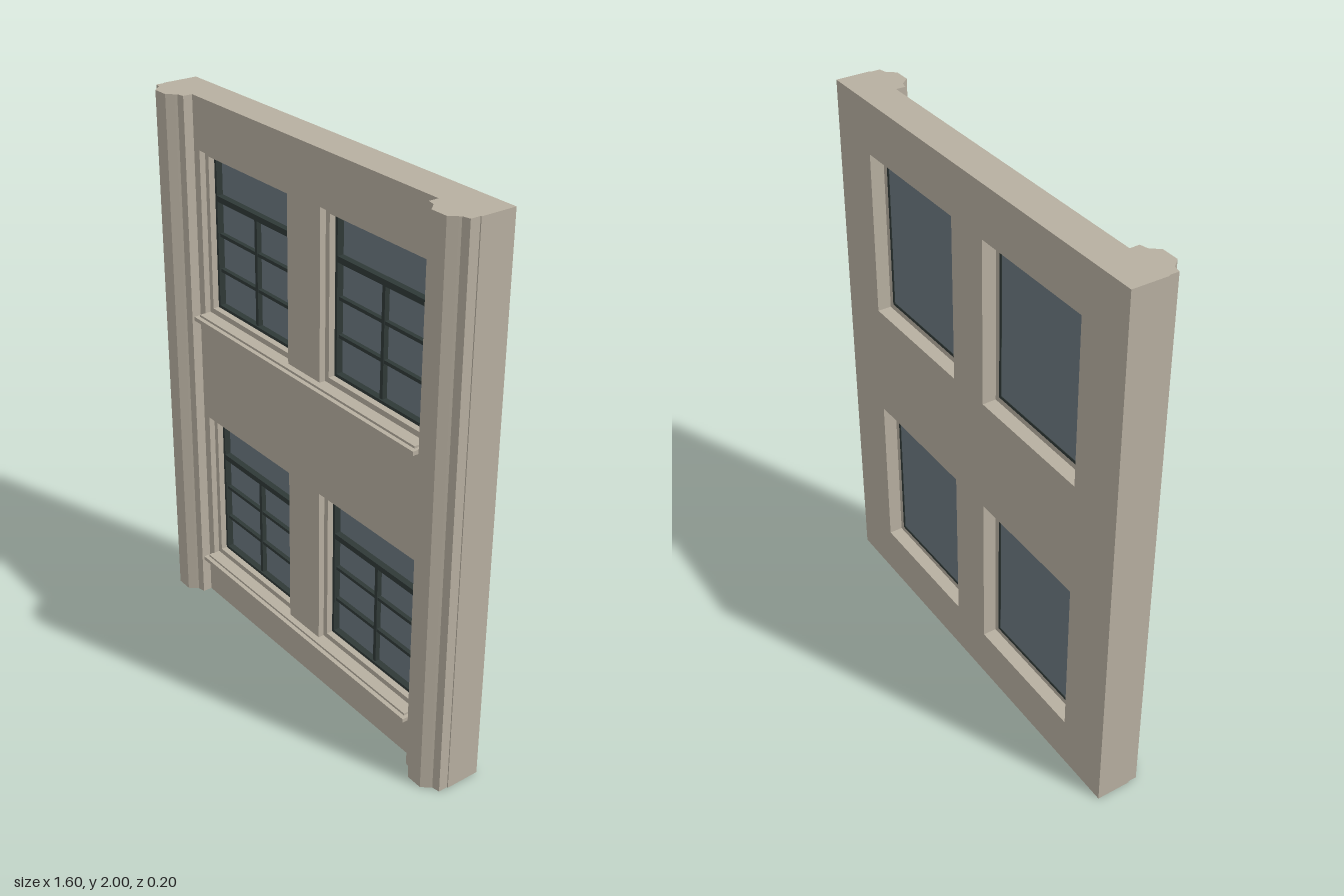
import * as THREE from 'three';

const stone = new THREE.MeshStandardMaterial({ color: 0xb7afa0 });
stone.name = 'stone';
const frameDark = new THREE.MeshStandardMaterial({ color: 0x2f3937 });
frameDark.name = 'darkFrame';
const glass = new THREE.MeshStandardMaterial({ color: 0x6b7780 });
glass.name = 'glass';

const WALL_BACK = -0.1, WALL_FRONT = 0.027;
const FLOORS = [0.186, 1.212]; // bottom of the openings on each storey
const OPEN_W = 0.506, OPEN_H = 0.602, OPEN_X = 0.34;

function box(name, x0, x1, y0, y1, z0, z1, material) {
  const mesh = new THREE.Mesh(new THREE.BoxGeometry(x1 - x0, y1 - y0, z1 - z0), material);
  mesh.position.set((x0 + x1) / 2, (y0 + y1) / 2, (z0 + z1) / 2);
  mesh.name = name;
  return mesh;
}

function rectangle(path, x0, x1, y0, y1) {
  path.moveTo(x0, y0);
  path.lineTo(x1, y0);
  path.lineTo(x1, y1);
  path.lineTo(x0, y1);
  path.closePath();
  return path;
}

// Rectangular ring: a border running inside the given outline
function ring(name, w, y0, y1, border, z0, z1, material) {
  const shape = rectangle(new THREE.Shape(), -w / 2, w / 2, y0, y1);
  shape.holes.push(rectangle(new THREE.Path(), -w / 2 + border, w / 2 - border, y0 + border, y1 - border));
  const geo = new THREE.ExtrudeGeometry(shape, { depth: z1 - z0, bevelEnabled: false });
  geo.translate(0, 0, z0);
  const mesh = new THREE.Mesh(geo, material);
  mesh.name = name;
  return mesh;
}

// One window, centred on x = 0 with its opening starting at y = 0
function createWindow() {
  const g = new THREE.Group();
  g.name = 'window';
  const c = 0.02;
  g.add(ring('casing', OPEN_W, 0, OPEN_H, c, -0.05, 0.005, stone));
  const w = OPEN_W - 2 * c, top = OPEN_H - c;
  g.add(ring('sashFrame', w, c, top, 0.011, -0.05, -0.018, frameDark));
  const half = w / 2 - 0.008;
  g.add(box('pane', -half, half, c + 0.008, top - 0.008, -0.048, -0.042, glass));
  // Transom, glazing bars and the central upright
  g.add(box('transom', -half, half, 0.42, 0.441, -0.043, -0.018, frameDark));
  for (const y of [0.163, 0.295]) {
    g.add(box('glazingBar', -half, half, y - 0.006, y + 0.006, -0.043, -0.026, frameDark));
  }
  g.add(box('upright', -0.007, 0.007, c, 0.425, -0.043, -0.024, frameDark));
  return g;
}

// Moulded pilaster, extruded upward from its plan outline
function createPilaster(x) {
  const halfPlan = [[0.085, 0.02], [0.085, 0.062], [0.058, 0.068], [0.053, 0.074], [0.031, 0.099]];
  const plan = [...halfPlan, ...halfPlan.slice().reverse().map(([a, z]) => [-a, z])];
  const shape = new THREE.Shape(plan.map(([a, z]) => new THREE.Vector2(a, -z)));
  const geo = new THREE.ExtrudeGeometry(shape, { depth: 2, bevelEnabled: false });
  geo.rotateX(-Math.PI / 2);
  const mesh = new THREE.Mesh(geo, stone);
  mesh.position.x = x;
  mesh.name = 'pilaster';
  return mesh;
}

export function createModel() {
  const model = new THREE.Group();
  model.name = 'facadePanel';

  // Wall slab with four window openings
  const outline = rectangle(new THREE.Shape(), -0.8, 0.8, 0, 2);
  for (const y of FLOORS) {
    for (const side of [-1, 1]) {
      const x = side * OPEN_X;
      outline.holes.push(rectangle(new THREE.Path(), x - OPEN_W / 2, x + OPEN_W / 2, y, y + OPEN_H));
      const win = createWindow();
      win.position.set(x, y, 0);
      model.add(win);
    }
    // Two-tier sill shared by both windows of the storey
    model.add(box('sillUpper', -0.593, 0.593, y - 0.012, y, 0, 0.05, stone));
    model.add(box('sillLower', -0.605, 0.605, y - 0.023, y - 0.008, 0, 0.066, stone));
  }
  const wallGeo = new THREE.ExtrudeGeometry(outline, { depth: WALL_FRONT - WALL_BACK, bevelEnabled: false });
  wallGeo.translate(0, 0, WALL_BACK);
  const wall = new THREE.Mesh(wallGeo, stone);
  wall.name = 'wall';
  model.add(wall);

  for (const side of [-1, 1]) model.add(createPilaster(side * 0.711));
  return model;
}
